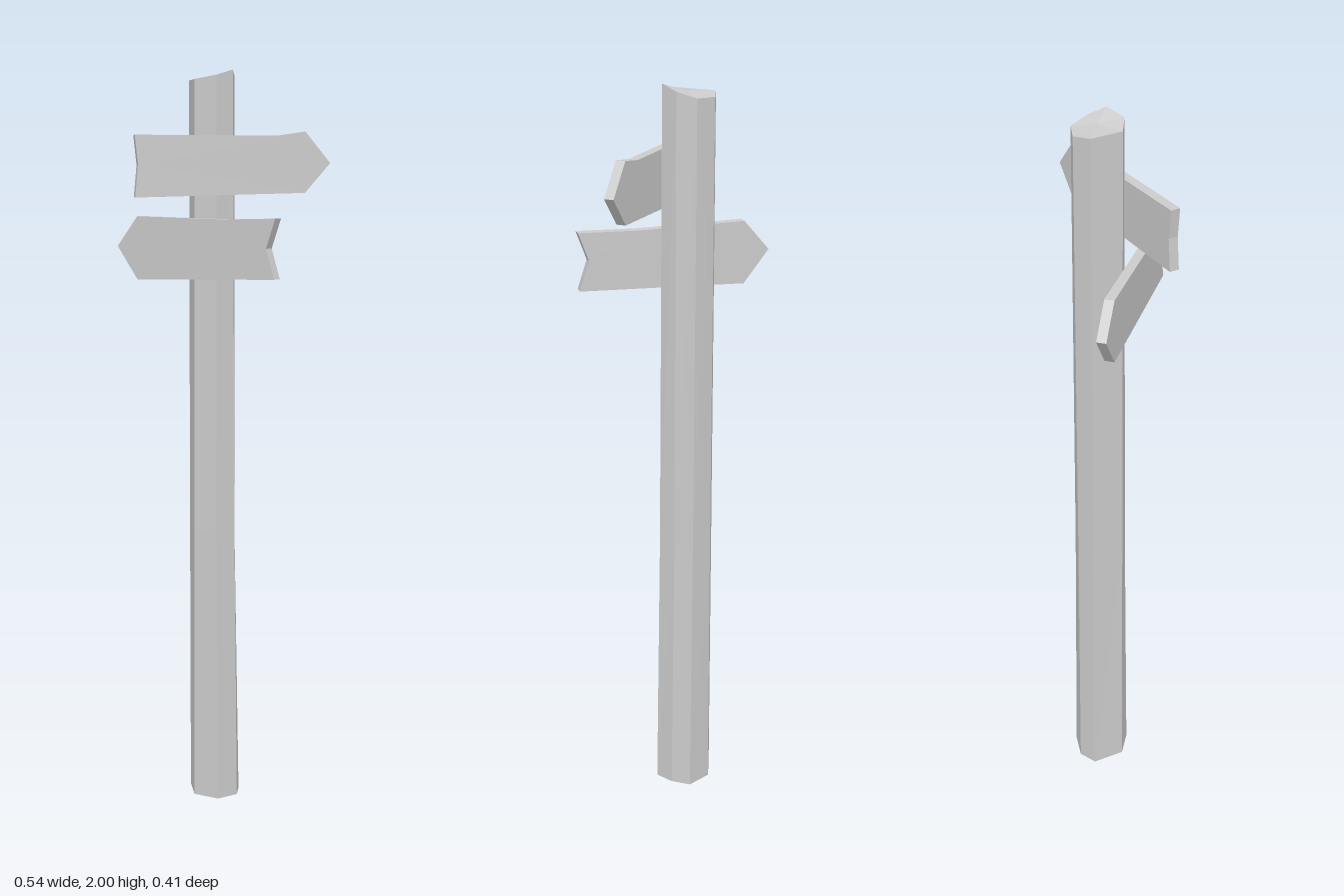
import * as THREE from 'three';

const material = new THREE.MeshStandardMaterial({ color: 0xcccccc, flatShading: true });

// Irregular seven-sided rings, from the front corner towards +x: [x, y, z]
const BASE = [[-0.035, 0, 0.021], [0.024, 0, -0.004], [0.04, 0, -0.057], [0.035, 0, -0.112],
  [-0.035, 0, -0.139], [-0.086, 0, -0.12], [-0.092, 0, -0.03]];
const MIDDLE = [[-0.036, 0.75, 0.012], [0.018, 0.75, -0.01], [0.028, 0.75, -0.058], [0.024, 0.75, -0.112],
  [-0.035, 0.75, -0.138], [-0.086, 0.75, -0.12], [-0.09, 0.75, -0.03]];
const TOP = [[-0.035, 1.985, 0.007], [0.014, 2, -0.014], [0.028, 1.985, -0.06], [0.019, 1.97, -0.113],
  [-0.035, 1.968, -0.139], [-0.085, 1.975, -0.12], [-0.087, 1.975, -0.03]];

// Rough-hewn post: a seven-sided cylinder with its corners moved onto the rings
function createPost() {
  const sides = BASE.length;
  const geometry = new THREE.CylinderGeometry(1, 1, 2, sides, 2);
  const pos = geometry.attributes.position;
  const rings = [BASE, MIDDLE, TOP];
  for (let i = 0; i < pos.count; i++) {
    const x = pos.getX(i), z = pos.getZ(i);
    const ring = rings[Math.round(pos.getY(i)) + 1];
    const corner = Math.round(Math.atan2(x, z) / (2 * Math.PI) * sides + sides) % sides;
    const point = Math.hypot(x, z) < 0.1
      ? [0, 1, 2].map(k => ring.reduce((sum, p) => sum + p[k], 0) / sides)
      : ring[corner];
    pos.setXYZ(i, ...point);
  }
  geometry.computeVertexNormals();
  const post = new THREE.Mesh(geometry, material);
  post.name = 'post';
  return post;
}

// Arrow board: outline extruded to the plank thickness, centred on its mid-plane
function createBoard(name, outline, thickness) {
  const shape = new THREE.Shape(outline.map(([x, y]) => new THREE.Vector2(x, y)));
  const geometry = new THREE.ExtrudeGeometry(shape, { depth: thickness, bevelEnabled: false });
  geometry.translate(0, 0, -thickness / 2);
  const board = new THREE.Mesh(geometry, material);
  board.name = name;
  return board;
}

export function createModel() {
  const group = new THREE.Group();
  group.name = 'signpost';
  group.add(createPost());

  // Upper board points to the left (+x)
  const upper = createBoard('upperArrowBoard', [
    [-0.256, 1.665], [0.203, 1.676], [0.272, 1.755], [0.203, 1.838],
    [0.13, 1.827], [-0.256, 1.828], [-0.248, 1.75],
  ], 0.026);
  upper.position.z = 0.013;
  group.add(upper);

  // Lower board points backwards to the right, turned across the post
  const lower = createBoard('lowerArrowBoard', [
    [-0.265, 1.53], [-0.195, 1.44], [0.262, 1.456], [0.236, 1.535],
    [0.265, 1.613], [0.1, 1.608], [-0.195, 1.612],
  ], 0.026);
  lower.position.set(-0.0865, 0, -0.0025);
  lower.rotation.y = -0.841;
  group.add(lower);

  return group;
}
